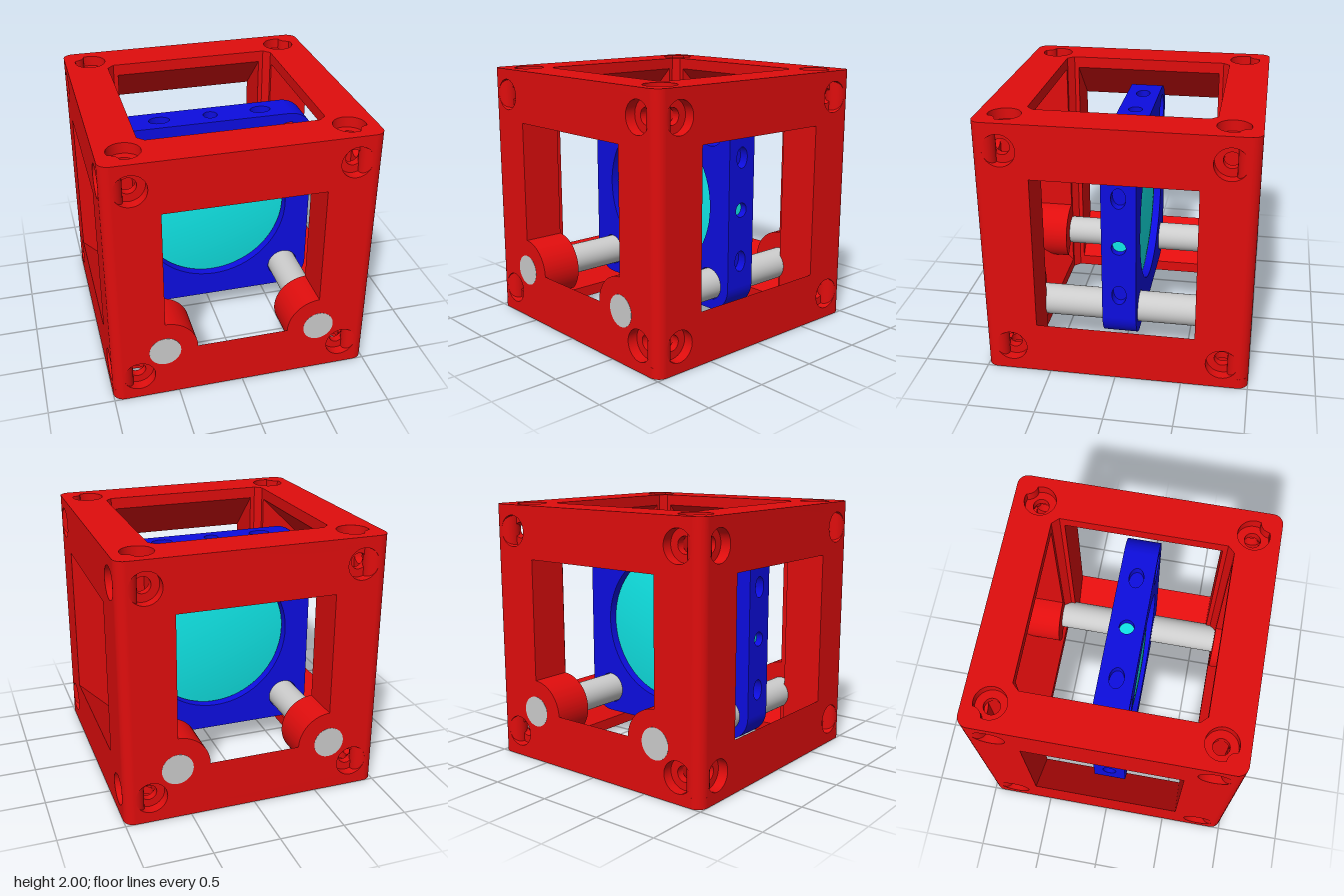
import * as THREE from 'three';
import { toCreasedNormals } from 'three/addons/utils/BufferGeometryUtils.js';

const W = 0.595; // half window
const C = 0.68;  // half cavity
const S = 0.92;  // inner face of the outer skin
const B = 0.8;   // offset of the screw holes

const material = (color) => new THREE.MeshStandardMaterial({ color });
const red = material(0xe00d0d), blue = material(0x0d0de0), cyan = material(0x10e8e8), grey = material(0xcccccc);

const polygon = (pts) => new THREE.Shape(pts.map(([x, y]) => new THREE.Vector2(x, y)));
const rect = (x0, y0, x1, y1) => polygon([[x0, y0], [x1, y0], [x1, y1], [x0, y1]]);

function hole(shape, x, y, rx, ry = rx) {
  shape.holes.push(new THREE.Path().absellipse(x, y, rx, ry, 0, Math.PI * 2));
  return shape;
}

function extrude(shape, depth, z = 0) {
  const g = new THREE.ExtrudeGeometry(shape, { depth, bevelEnabled: false, curveSegments: 32 });
  return toCreasedNormals(g.translate(0, 0, z), 0.5);
}

function add(parent, name, geometry, mat) {
  const mesh = new THREE.Mesh(geometry, mat);
  mesh.name = name;
  parent.add(mesh);
  return mesh;
}

function roundedSquare(h, r) {
  const s = new THREE.Shape();
  s.absarc(h - r, h - r, r, 0, Math.PI / 2);
  s.absarc(r - h, h - r, r, Math.PI / 2, Math.PI);
  s.absarc(r - h, r - h, r, Math.PI, Math.PI * 1.5);
  s.absarc(h - r, r - h, r, Math.PI * 1.5, Math.PI * 2);
  return s;
}

// Corner column with counterbored screw holes on both outer faces
function column() {
  const g = new THREE.Group();
  g.name = 'cornerColumn';
  for (const side of [1, -1]) {
    const x0 = Math.min(side * W, side * S), x1 = Math.max(side * W, side * S);
    const skin = rect(x0, 0, x1, 2), step = rect(x0, 0.08, x1, 1.92);
    for (const y of [1 - B, 1 + B]) {
      hole(skin, side * B, y, 0.12);
      hole(step, side * B, y, 0.06);
    }
    const parts = [['columnFace', extrude(skin, 0.08, S)], ['columnBoreStep', extrude(step, 0.06, 0.86)]];
    for (const [name, geo] of parts) {
      if (side < 0) geo.rotateY(Math.PI / 2);
      add(g, name, geo, red);
    }
  }
  // rounded outer edge
  const edge = new THREE.CylinderGeometry(0.08, 0.08, 2, 32).translate(S, 1, S);
  add(g, 'columnRoundedEdge', edge, red);
  // inner angle with a chamfered inner corner (shape y becomes -z)
  const inner = polygon([[W, -C], [0.63, -C], [C, -0.63], [C, -W], [0.86, -W], [0.86, -0.74],
    [0.74, -0.74], [0.74, -0.86], [W, -0.86]]);
  add(g, 'columnInnerAngle', extrude(inner, 1.72, 0.14).rotateX(-Math.PI / 2), red);
  return g;
}

// Square ring with its sloped bars; built around the origin as the upper half
function ring() {
  const g = new THREE.Group();
  g.name = 'endRing';
  const face = roundedSquare(1, 0.08);
  const k = 0.63;
  face.holes.push(polygon([[k, C], [-k, C], [-C, k], [-C, -k], [-k, -C], [k, -C], [C, -k], [C, k]]));
  for (const x of [-B, B]) for (const z of [-B, B]) hole(face, x, z, 0.12);
  add(g, 'ringFace', extrude(face, 0.08, S).rotateX(-Math.PI / 2), red);

  const barShape = polygon([[-1, 1], [-C, 1], [-C, 0.91], [-1, W]]);
  const stepShape = polygon([[W, C], [k, C], [C, k], [C, W], [S, W], [S, S], [W, S]]);
  hole(stepShape, B, B, 0.06);
  for (let i = 0; i < 4; i++) {
    const a = i * Math.PI / 2;
    add(g, 'slopedBar', extrude(barShape, 1.2, -0.6).rotateY(Math.PI / 2), red).rotation.y = a;
    add(g, 'ringBoreStep', extrude(stepShape, 0.06, 0.86).rotateX(-Math.PI / 2), red).rotation.y = a;
  }
  return g;
}

// Collar around the end of each rod
function collar(side) {
  const from = side > 0 ? Math.PI * 0.48 : -Math.PI * 0.25, to = side > 0 ? Math.PI * 1.25 : Math.PI * 0.52;
  const s = new THREE.Shape();
  s.absarc(side * 0.6, 0.4, 0.25, from, to, false);
  s.absarc(side * 0.6, 0.4, 0.12, to, from, true);
  return extrude(s, 0.32, C);
}

// Sliding plate that holds the lens, centred on the origin
function lensHolder() {
  const g = new THREE.Group();
  g.name = 'lensHolder';
  const h = 0.8, r = 0.2, n = 0.55, d = 0.73;
  const body = new THREE.Shape();
  for (let i = 0; i < 4; i++) {
    const a = i * Math.PI / 2, c = Math.cos(a), s = Math.sin(a);
    const at = (x, y) => [x * c - y * s, x * s + y * c];
    // notch for the edge strip, then the rounded corner
    for (const p of [[h, -n], [d, -n], [d, n], [h, n]]) {
      if (i === 0 && p[0] === h && p[1] < 0) body.moveTo(...at(...p));
      else body.lineTo(...at(...p));
    }
    body.absarc(...at(h - r, h - r), r, a, a + Math.PI / 2, false);
  }
  hole(body, 0, 0, 0.6);
  for (const x of [-0.6, 0.6]) for (const y of [-0.6, 0.6]) hole(body, x, y, 0.125);
  add(g, 'holderPlate', extrude(body, 0.26, -0.13), blue);

  // edge strips with a round centre hole and two oval screw holes
  const strip = rect(-n, -0.13, n, 0.13);
  hole(strip, 0, 0, 0.055);
  for (const x of [-0.4, 0.4]) hole(strip, x, 0, 0.08, 0.055);
  for (let i = 0; i < 4; i++) {
    const edge = new THREE.Group();
    edge.name = 'holderEdge';
    edge.rotation.z = i * Math.PI / 2;
    add(edge, 'edgeStrip', extrude(strip, h - d, d).rotateX(-Math.PI / 2), blue);
    const pin = new THREE.CylinderGeometry(0.055, 0.055, 0.03, 24).translate(0, d, 0);
    add(edge, 'lensEdgeInHole', pin, cyan);
    g.add(edge);
  }

  // gently domed lens
  const profile = [];
  const N = 12, R = 0.592;
  for (let i = 0; i <= N; i++) {
    const t = i / N;
    profile.push(new THREE.Vector2(R * t, -0.12 + 0.05 * t * t));
  }
  for (let i = N; i >= 0; i--) {
    const t = i / N;
    profile.push(new THREE.Vector2(R * t, 0.12 - 0.05 * t * t));
  }
  const lens = new THREE.LatheGeometry(profile, 72).rotateX(Math.PI / 2);
  add(g, 'lens', toCreasedNormals(lens, 0.6), cyan);
  return g;
}

export function createModel() {
  const model = new THREE.Group();
  model.name = 'lensCube';

  const frame = new THREE.Group();
  frame.name = 'frame';
  model.add(frame);
  for (let i = 0; i < 4; i++) {
    const c = column();
    c.rotation.y = i * Math.PI / 2;
    frame.add(c);
  }
  for (const turn of [0, Math.PI]) {
    const r = ring();
    r.position.y = 1;
    r.rotation.z = turn;
    frame.add(r);
    for (const side of [-1, 1]) add(frame, 'rodCollar', collar(side), red).rotation.y = turn;
  }

  // guide rods
  for (const x of [-0.6, 0.6]) {
    const rod = new THREE.CylinderGeometry(0.12, 0.12, 2.003, 48).rotateX(Math.PI / 2);
    add(model, 'guideRod', rod, grey).position.set(x, 0.4, 0);
  }

  const holder = lensHolder();
  holder.position.y = 1;
  model.add(holder);
  return model;
}
